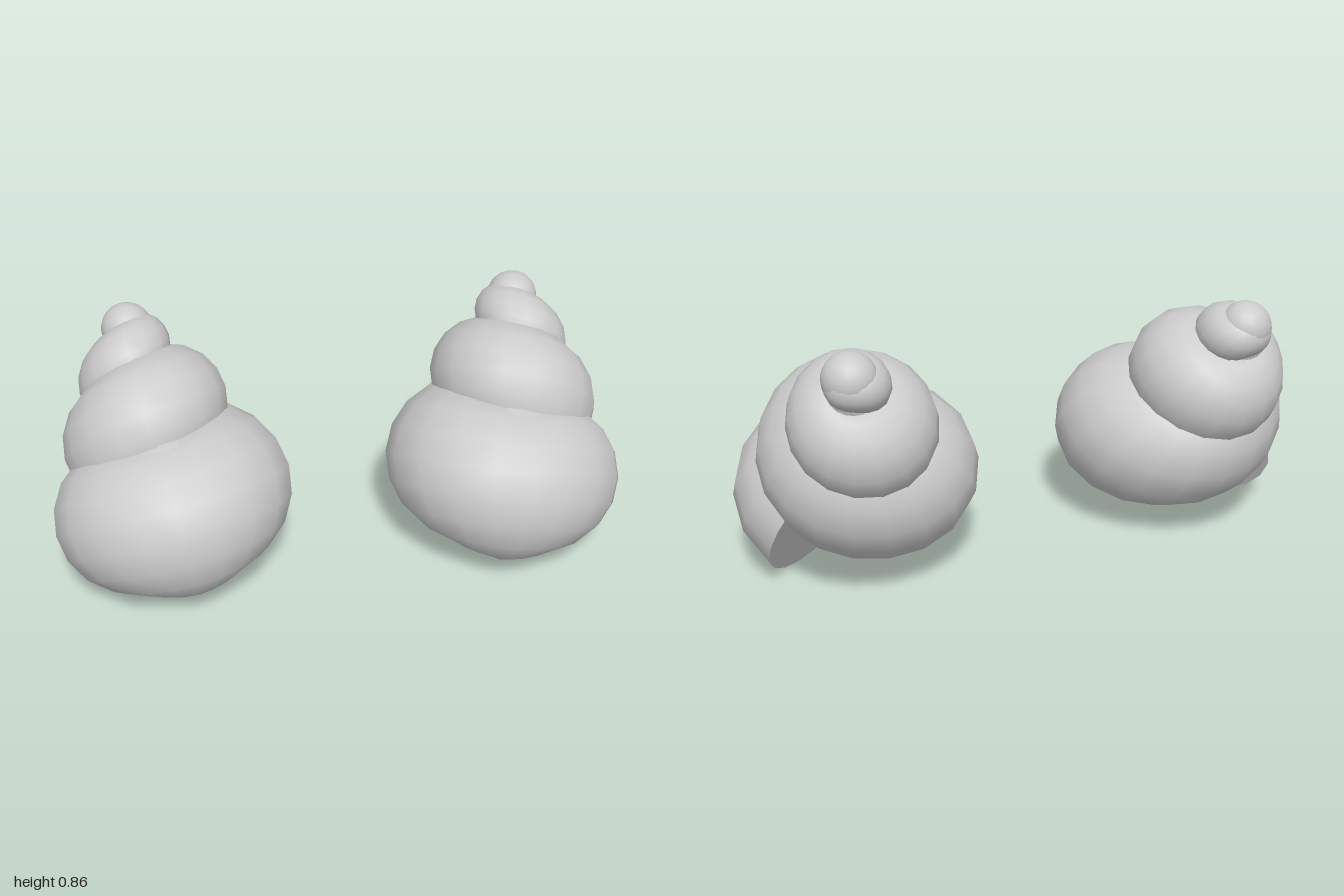
import * as THREE from 'three';

const SIDES = 18, PER_TURN = 18, START = -0.75, END = 2.84;

// Whorl growth, one point per quarter turn: (distance from axis, height on axis, tube radius)
const growth = new THREE.CatmullRomCurve3([
  [0.03, 0.79, 0], [0.03, 0.79, 0.065], [0.015, 0.79, 0.07], [0, 0.785, 0.072],
  [0.02, 0.745, 0.105], [0.053, 0.687, 0.135], [0.055, 0.62, 0.16], [0.07, 0.56, 0.187],
  [0.073, 0.52, 0.2], [0.08, 0.47, 0.222], [0.083, 0.41, 0.24], [0.1, 0.345, 0.255],
  [0.13, 0.21, 0.283], [0.09, 0.135, 0.283], [0.16, 0.175, 0.258], [0.23, 0.19, 0.16],
].map((p) => new THREE.Vector3(...p)), false, 'catmullrom');
const GROWTH_TURNS = 3.75;

// Rounded fillers in coil space: name, height on axis, offset to the front, radius
const FILLERS = [
  ['apex', 0.797, 0.03, 0.088],
  ['upperBase', 0.245, 0, 0.265],
  ['lowerBase', 0.17, 0.06, 0.28],
];

// Tilted coiling axis: the spire leans back and outward
function shellFrame() {
  const axis = new THREE.Vector3(0.17, 0.77, -0.62).normalize();
  const across = new THREE.Vector3().crossVectors(axis, new THREE.Vector3(0, 0.627, 0.779)).normalize();
  const front = new THREE.Vector3().crossVectors(across, axis);
  return new THREE.Matrix4().makeBasis(across, axis, front).setPosition(0.545, 0.133, 0.16);
}

// Rings of points along the coil, from the apex to the lip
function coilRings(frame) {
  const rings = [];
  const steps = Math.round((END - START) * PER_TURN);
  for (let i = 0; i <= steps; i++) {
    const turn = START + ((END - START) * i) / steps;
    const a = turn * Math.PI * 2;
    const g = growth.getPoint((turn - START) / GROWTH_TURNS);
    const ring = [];
    for (let j = 0; j < SIDES; j++) {
      const b = (j / SIDES) * Math.PI * 2;
      const r = g.x + g.z * Math.cos(b);
      ring.push(new THREE.Vector3(-Math.sin(a) * r, g.y + g.z * Math.sin(b), -Math.cos(a) * r).applyMatrix4(frame));
    }
    rings.push(ring);
  }
  return rings;
}

// Geometry from points and triangles, reflected in x for the right shell
function buildGeometry(points, triangles, side) {
  const geometry = new THREE.BufferGeometry();
  const positions = points.flatMap((p) => [p.x * side, p.y, p.z]);
  geometry.setAttribute('position', new THREE.Float32BufferAttribute(positions, 3));
  geometry.setIndex(triangles.flatMap(([a, b, c]) => (side > 0 ? [a, b, c] : [a, c, b])));
  geometry.computeVertexNormals();
  return geometry;
}

function makeShell(rings, frame, side, material) {
  const shell = new THREE.Group();
  shell.name = side > 0 ? 'leftShell' : 'rightShell';

  // Spiral wall
  const wall = [];
  for (let i = 0; i < rings.length - 1; i++) {
    for (let j = 0; j < SIDES; j++) {
      const k = (j + 1) % SIDES;
      const a = i * SIDES + j, b = a + SIDES;
      const d = i * SIDES + k, c = d + SIDES;
      wall.push([a, b, c]);
      if (i > 0) wall.push([a, c, d]);
    }
  }
  const whorls = new THREE.Mesh(buildGeometry(rings.flat(), wall, side), material);
  whorls.name = 'whorls';

  // Flat closing face at the lip
  const lip = rings[rings.length - 1];
  const middle = lip.reduce((sum, p) => sum.add(p), new THREE.Vector3()).divideScalar(SIDES);
  const fan = lip.map((_, j) => [SIDES, (j + 1) % SIDES, j]);
  const aperture = new THREE.Mesh(buildGeometry([...lip, middle], fan, side), material);
  aperture.name = 'aperture';
  shell.add(whorls, aperture);

  // Smooth tip, and a rounded base that leaves a crescent opening
  for (const [name, height, forward, radius] of FILLERS) {
    const filler = new THREE.Mesh(new THREE.SphereGeometry(radius, 20, 14), material);
    filler.position.set(0, height, forward).applyMatrix4(frame);
    filler.position.x *= side;
    filler.name = name;
    shell.add(filler);
  }
  return shell;
}

export function createModel() {
  const model = new THREE.Group();
  model.name = 'shellPair';
  const material = new THREE.MeshStandardMaterial({ color: 0xcccccc, side: THREE.DoubleSide });
  const frame = shellFrame();
  const rings = coilRings(frame);
  for (const side of [1, -1]) model.add(makeShell(rings, frame, side, material));
  return model;
}
